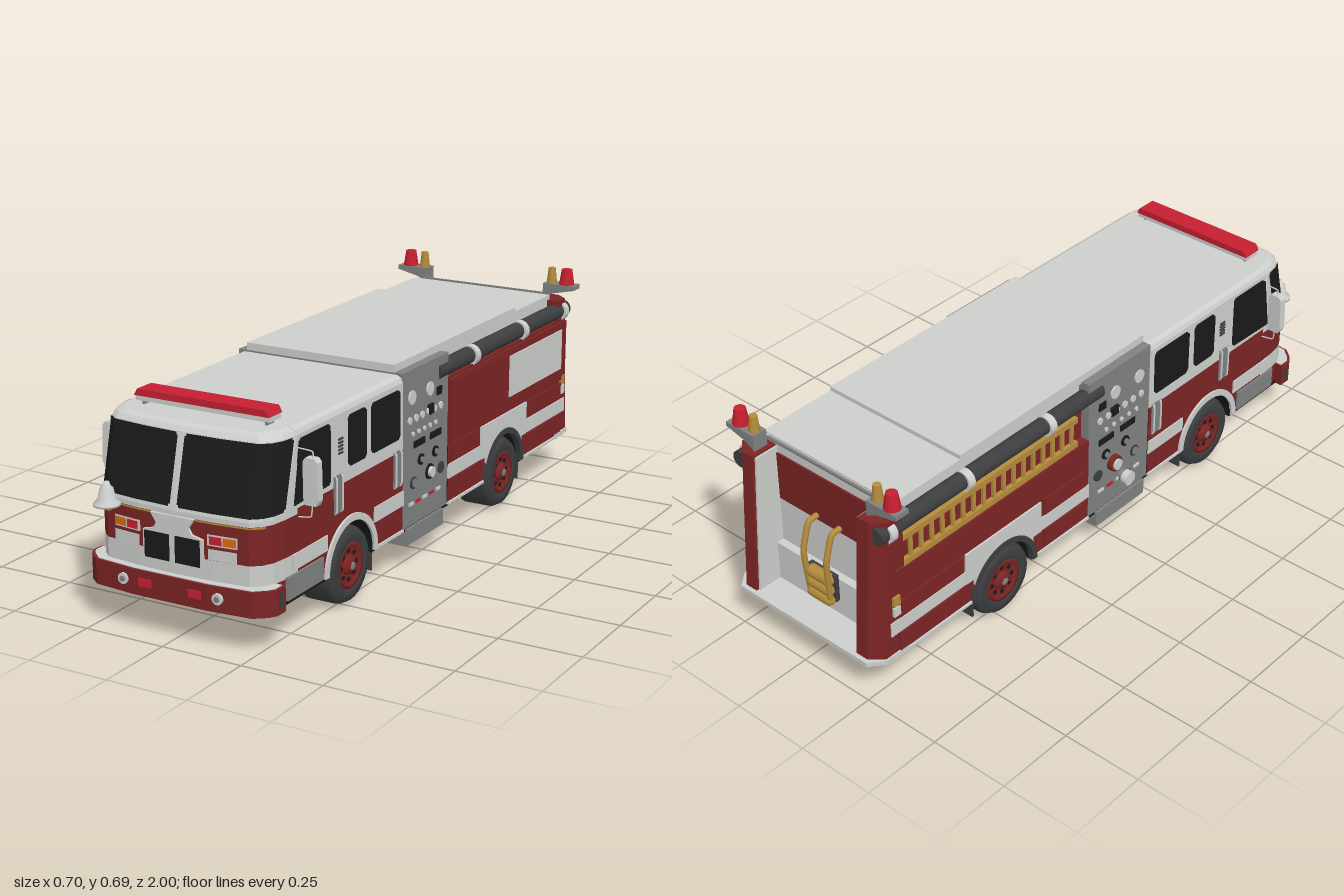
import * as THREE from 'three';

const mat = (name, color) => { const m = new THREE.MeshStandardMaterial({ color }); m.name = name; return m; };

export function createModel() {
  const root = new THREE.Group();
  root.name = 'fireEngine';
  const red = mat('body red', 0x7b2424), white = mat('pale silver', 0xcdcfcc), grey = mat('panel grey', 0x808282),
    black = mat('glass black', 0x191a1a), rubber = mat('rubber grey', 0x3d3e3f), signal = mat('signal red', 0xc61f30),
    gold = mat('gold', 0xb48c3c), orange = mat('orange', 0xdb6a14);

  // ---- helpers ----
  const add = (name, geo, m, parent = root) => {
    const mesh = new THREE.Mesh(geo, m); mesh.name = name; parent.add(mesh); return mesh;
  };
  const box = (name, m, x0, x1, y0, y1, z0, z1) => add(name, new THREE.BoxGeometry(Math.abs(x1 - x0), y1 - y0, Math.abs(z1 - z0))
    .translate((x0 + x1) / 2, (y0 + y1) / 2, (z0 + z1) / 2), m);
  const poly = pts => new THREE.Shape(pts.map(p => new THREE.Vector2(...p)));
  const extrude = (shape, depth) => new THREE.ExtrudeGeometry(shape, { depth, bevelEnabled: false, curveSegments: 20 });
  // profile given in (z, y), swept across x
  const sideways = (name, m, shape, x0, x1) => add(name, extrude(shape, Math.abs(x1 - x0)).rotateY(-Math.PI / 2)
    .translate(Math.max(x0, x1), 0, 0), m);
  // outline given in (x, z), swept up y
  const plan = (name, m, pts, y0, y1) => add(name, extrude(poly(pts.map(([x, z]) => [x, -z])), y1 - y0)
    .rotateX(-Math.PI / 2).translate(0, y0, 0), m);
  const mirrored = half => [...half, ...half.map(([x, z]) => [-x, z]).reverse()];
  const panel = (name, m, s, z0, z1, y0, y1, t = 0.005, x = 0.28) => box(name, m, s * (x - 0.003), s * (x + t), y0, y1, z0, z1);
  const tube = (name, m, r, pts) => add(name, new THREE.TubeGeometry(
    new THREE.CatmullRomCurve3(pts.map(p => new THREE.Vector3(...p)), false, 'catmullrom', 0.2), 24, r, 8), m);
  const cylX = (name, m, r, x0, x1, y, z) => add(name, new THREE.CylinderGeometry(r, r, Math.abs(x1 - x0), 16)
    .rotateZ(Math.PI / 2).translate((x0 + x1) / 2, y, z), m);
  const cylZ = (name, m, r, x, y, z0, z1) => add(name, new THREE.CylinderGeometry(r, r, Math.abs(z1 - z0), 20)
    .rotateX(Math.PI / 2).translate(x, y, (z0 + z1) / 2), m);
  const sides = f => [1, -1].forEach(f);

  // ---- cab and rear body with dark wheel arches ----
  const R = 0.125, wheelsZ = [0.48, -0.475];
  const arched = (z0, z1, y0, y1, zw) => {
    const s = new THREE.Shape();
    s.moveTo(z0, y0); s.lineTo(zw - R, y0);
    s.lineTo(zw - R, 0.12); s.absarc(zw, 0.12, R, Math.PI, 0, true);
    s.lineTo(zw + R, y0); s.lineTo(z1, y0); s.lineTo(z1, y1); s.lineTo(z0, y1);
    return s;
  };
  sideways('cabLower', [red, black], arched(0.18, 0.76, 0.12, 0.368, 0.48), -0.28, 0.28);
  add('cabUpper', extrude(poly([[-0.28, 0.368], [0.28, 0.368], [0.278, 0.57], [0.272, 0.583], [0.258, 0.59],
    [-0.258, 0.59], [-0.272, 0.583], [-0.278, 0.57]]), 0.58).translate(0, 0, 0.18), white);
  sideways('rearBody', [red, black], arched(-0.87, -0.1, 0.12, 0.39, -0.475), -0.28, 0.28);
  box('rearBodyLedge', red, -0.28, 0.28, 0.39, 0.402, -0.87, -0.1);
  box('rearBodyUpper', red, -0.25, 0.28, 0.4, 0.52, -0.87, -0.1);
  box('hoseBedWalls', white, -0.24, 0.24, 0.515, 0.6, -0.87, -0.1);
  box('rearRoof', white, -0.25, 0.25, 0.59, 0.605, -0.865, 0.18);
  box('raisedRoof', white, -0.25, 0.25, 0.6, 0.618, -0.61, 0.18);
  box('pumpHousing', grey, -0.278, 0.278, 0.12, 0.595, -0.1, 0.18);

  // ---- curved nose, built from a half outline in (x, z) that leans back above the belt ----
  const Q = [[0, 0.935], [0.12, 0.93], [0.228, 0.918], [0.255, 0.895], [0.27, 0.865], [0.277, 0.82], [0.28, 0.76]];
  const nosePoint = (s, y, off = 0) => {
    const a = Math.abs(s), i = Math.min(5, Math.floor(a)), t = a - i;
    const x = Q[i][0] + (Q[i + 1][0] - Q[i][0]) * t, z = Q[i][1] + (Q[i + 1][1] - Q[i][1]) * t;
    const fade = Math.min(1, 6 - a);
    return [Math.sign(s) * x * (1 + off / 0.28), y, z - Math.max(0, y - 0.365) * 0.25 * fade + off * fade];
  };
  // outline parameter at a given x on the front
  const sx = x => {
    const a = Math.abs(x), i = Q.findIndex((q, k) => k < 5 && a <= Q[k + 1][0]);
    return Math.sign(x) * (i + (a - Q[i][0]) / (Q[i + 1][0] - Q[i][0]));
  };
  const noseBand = (name, m, a, b, y0, y1, o0 = 0, o1 = o0) => {
    const cuts = [a];
    for (let k = Math.floor(a) + 1; k < b; k++) cuts.push(k);
    cuts.push(b);
    const v = [];
    for (let k = 0; k + 1 < cuts.length; k++) {
      const A = nosePoint(cuts[k], y0, o0), B = nosePoint(cuts[k + 1], y0, o0);
      const C = nosePoint(cuts[k + 1], y1, o1), D = nosePoint(cuts[k], y1, o1);
      v.push(...A, ...B, ...C, ...A, ...C, ...D);
    }
    const g = new THREE.BufferGeometry();
    g.setAttribute('position', new THREE.Float32BufferAttribute(v, 3));
    g.computeVertexNormals();
    add(name, g, m);
  };
  const nosePatch = (name, m, s, x0, x1, y0, y1, off) => noseBand(name, m, s > 0 ? sx(x0) : sx(-x1), s > 0 ? sx(x1) : sx(-x0), y0, y1, off);
  noseBand('noseSkirt', red, -6, 6, 0.12, 0.185);
  noseBand('noseStripe', white, -6, 6, 0.185, 0.245);
  noseBand('noseRed', red, -6, 6, 0.245, 0.352);
  noseBand('noseBelt', white, -6, 6, 0.352, 0.365);
  noseBand('windshieldSurround', white, -6, 6, 0.365, 0.57);
  noseBand('roofEdgeLower', white, -6, 6, 0.57, 0.583, 0, -0.007);
  noseBand('roofEdgeUpper', white, -6, 6, 0.583, 0.59, -0.007, -0.022);
  const cap = [];
  for (let s = -6; s <= 6; s++) { const p = nosePoint(s, 0.59, -0.022); cap.push([p[0], p[2]]); }
  plan('noseRoof', white, cap, 0.58, 0.59);
  sides(s => {
    // windshield with trimmed top and bottom corners
    const wind = (a, b, y0, y1) => noseBand('windshield', black, s > 0 ? a : -b, s > 0 ? b : -a, y0, y1, 0.002);
    wind(0.13, 4.85, 0.375, 0.382); wind(0.09, 5, 0.382, 0.561); wind(0.13, 4.85, 0.561, 0.568);
    nosePatch('beltLine', gold, s, 0.07, 0.26, 0.347, 0.352, 0.002);
    nosePatch('lampFrame', white, s, 0.106, 0.194, 0.287, 0.319, 0.004);
    nosePatch('innerLamp', signal, s, 0.112, 0.148, 0.292, 0.315, 0.007);
    nosePatch('outerLamp', orange, s, 0.152, 0.19, 0.292, 0.315, 0.007);
    nosePatch('headlamp', white, s, 0.108, 0.192, 0.248, 0.279, 0.006);
    box('grille', black, s * 0.01, s * 0.088, 0.223, 0.298, 0.93, 0.945);
  });
  add('grillePanel', extrude(poly([[-0.095, 0.217], [0.095, 0.217], [0.095, 0.3], [0.062, 0.308], [0.052, 0.325],
    [0.07, 0.352], [-0.07, 0.352], [-0.052, 0.325], [-0.062, 0.308], [-0.095, 0.3]]), 0.014).translate(0, 0, 0.927), white);

  // ---- bumper ----
  plan('bumper', red, mirrored([[0.3, 0.855], [0.3, 0.895], [0.285, 0.918], [0.252, 0.945], [0.12, 0.958]]), 0.112, 0.185);
  plan('bumperTread', white, mirrored([[0.292, 0.86], [0.292, 0.892], [0.279, 0.911], [0.248, 0.938], [0.12, 0.951]]), 0.184, 0.187);
  sides(s => {
    cylZ('fogLamp', white, 0.016, s * 0.152, 0.152, 0.945, 0.962);
    cylZ('fogLampCentre', grey, 0.008, s * 0.152, 0.152, 0.945, 0.965);
    box('bumperLamp', signal, s * 0.06, s * 0.1, 0.141, 0.163, 0.95, 0.963);
    panel('bumperEndSlot', rubber, s, 0.87, 0.885, 0.13, 0.17, 0.002, 0.3);
  });

  // ---- bell ----
  const bell = (name, pts, m) => add(name, new THREE.LatheGeometry(pts.map(p => new THREE.Vector2(...p)), 24), m).position.set(-0.195, 0.355, 0.962);
  bell('bell', [[0, 0.002], [0.038, 0], [0.037, 0.006], [0.025, 0.018], [0.019, 0.048], [0.012, 0.054], [0.008, 0.066], [0, 0.068]], white);
  bell('bellClapper', [[0, -0.016], [0.01, -0.012], [0.01, 0], [0, 0.004]], gold);
  box('bellBracket', gold, -0.203, -0.187, 0.34, 0.352, 0.915, 0.965);

  // ---- roof light bar ----
  sides(s => box('lightBarFoot', grey, s * 0.193, s * 0.201, 0.588, 0.604, 0.748, 0.78));
  box('lightBarBase', white, -0.215, 0.215, 0.602, 0.618, 0.735, 0.79);
  add('lightBar', extrude(poly([[-0.217, 0.617], [0.217, 0.617], [0.206, 0.636], [-0.206, 0.636]]), 0.066).translate(0, 0, 0.73), signal);

  // ---- parts repeated on both sides ----
  sides(s => {
    // windows
    sideways('doorWindow', black, poly([[0.6, 0.385], [0.778, 0.38], [0.75, 0.55], [0.738, 0.558], [0.6, 0.558], [0.592, 0.55], [0.592, 0.393]]), s * 0.277, s * 0.283);
    for (const [a, b] of [[0.395, 0.493], [0.202, 0.365]])
      sideways('rearCabWindow', black, poly([[a + 0.01, 0.408], [b - 0.01, 0.408], [b, 0.418], [b, 0.545], [b - 0.01, 0.555],
        [a + 0.01, 0.555], [a, 0.545], [a, 0.418]]), s * 0.277, s * 0.283);
    for (let i = 0; i < 5; i++) panel('louvre', rubber, s, 0.523, 0.547, 0.457 + i * 0.01, 0.462 + i * 0.01, 0.003);
    // stripes and arch trims
    for (const [a, b] of [[0.61, 0.79], [0.18, 0.35], [-0.345, -0.1], [-0.93, -0.605]]) panel('sideStripe', white, s, a, b, 0.2, 0.245, 0.004);
    for (const [a, b] of [[0.18, 0.35], [-0.345, -0.1], [-0.93, -0.605]]) panel('sillTrim', white, s, a, b, 0.118, 0.126, 0.006);
    const ring = new THREE.Shape();
    ring.absarc(0.48, 0.12, 0.145, 0, Math.PI, false); ring.absarc(0.48, 0.12, R, Math.PI, 0, true);
    sideways('frontArchTrim', white, ring, s * 0.278, s * 0.287);
    sideways('rearFender', white, arched(-0.635, -0.315, 0.2, 0.305, -0.475), s * 0.278, s * 0.286);
    const lip = new THREE.Shape();
    lip.absarc(-0.475, 0.12, 0.138, 0, Math.PI, false); lip.absarc(-0.475, 0.12, 0.12, Math.PI, 0, true);
    sideways('rearArchLip', rubber, lip, s * 0.27, s * 0.289);
    // steps, grab rails and flaps
    panel('cabStep', grey, s, 0.635, 0.82, 0.125, 0.19, 0.006);
    box('pumpStep', grey, s * 0.2, s * 0.285, 0.068, 0.118, -0.065, 0.16);
    for (const [z, y] of [[0.55, 0.29], [0.215, 0.265]]) {
      panel('railPlate', grey, s, z - 0.022, z + 0.022, y, y + 0.11, 0.003);
      sides(k => tube('grabRail', white, 0.003, [[s * 0.28, y, z + k * 0.016], [s * 0.287, y + 0.01, z + k * 0.016], [s * 0.287, y + 0.1, z + k * 0.016], [s * 0.28, y + 0.11, z + k * 0.016]]));
    }
    for (const z of [0.352, -0.6]) box('mudFlap', rubber, s * 0.17, s * 0.275, 0.055, 0.14, z - 0.003, z + 0.003);
    // compartment doors
    for (const [a, b, c, d] of [[-0.3, -0.115, 0.25, 0.305], [-0.9, -0.645, 0.25, 0.305], [-0.3, -0.115, 0.135, 0.195], [-0.9, -0.645, 0.135, 0.195]])
      panel('compartmentDoor', red, s, a, b, c, d, 0.006);
    // hose tubes
    cylZ('hoseTube', rubber, 0.026, s * 0.262, 0.546, -0.95, -0.04);
    for (const z of [-0.27, -0.61, -0.91]) cylZ('tubeCollar', white, 0.032, s * 0.264, 0.544, z - 0.012, z + 0.012);
    // mirrors
    add('mirror', extrude(poly([[0.308, 0.385], [0.343, 0.385], [0.35, 0.4], [0.347, 0.505], [0.338, 0.516], [0.31, 0.516], [0.302, 0.505], [0.304, 0.395]].map(([x, y]) => [s * x, y])), 0.025).translate(0, 0, 0.745), white);
    tube('mirrorArm', white, 0.0022, [[s * 0.272, 0.535, 0.755], [s * 0.325, 0.532, 0.757], [s * 0.328, 0.5, 0.757]]);
    tube('mirrorArm', white, 0.0022, [[s * 0.275, 0.342, 0.755], [s * 0.32, 0.35, 0.757], [s * 0.325, 0.4, 0.757]]);
    // rear pillars, chamfered in plan and raked toward the foot
    const pillar = plan('rearPillar', red, [[0.2, -0.868], [0.28, -0.868], [0.28, -0.92], [0.242, -0.955], [0.2, -0.955]].map(([x, z]) => [s * x, z]), 0.12, 0.585);
    const p = pillar.geometry.attributes.position;
    for (let i = 0; i < p.count; i++) if (p.getZ(i) < -0.9) p.setZ(i, p.getZ(i) - (0.585 - p.getY(i)) * 0.07);
    pillar.geometry.computeVertexNormals();
    sideways('pillarLining', white, poly([[-0.978, 0.13], [-0.868, 0.13], [-0.868, 0.58], [-0.948, 0.58]]), s * 0.194, s * 0.201);
    panel('markerLamp', gold, s, -0.92, -0.895, 0.3, 0.33, 0.008);
    panel('markerLampWhite', white, s, -0.92, -0.895, 0.265, 0.295, 0.008);
    // warning beacons
    add('beaconBracket', extrude(poly([[0.215, 0.585], [0.25, 0.605], [0.325, 0.622], [0.325, 0.636], [0.215, 0.636]].map(([x, y]) => [s * x, y])), 0.048).translate(0, 0, -0.934), grey);
    const beacon = (m, x, r) => { add('beacon', new THREE.CylinderGeometry(r * 0.68, r, 0.05, 16), m).position.set(s * x, 0.661, -0.91); };
    beacon(signal, 0.289, 0.025); beacon(gold, 0.236, 0.017);
    // wheels
    wheelsZ.forEach(z => {
      const w = new THREE.Group(); w.name = 'wheel'; root.add(w);
      w.position.set(0, 0.113, z); if (s < 0) w.rotation.y = Math.PI;
      const lathe = (name, pts, m) => add(name, new THREE.LatheGeometry(pts.map(q => new THREE.Vector2(...q)), 28).rotateZ(-Math.PI / 2), m, w);
      lathe('tyre', [[0, 0.16], [0.098, 0.16], [0.113, 0.175], [0.113, 0.26], [0.103, 0.279], [0.072, 0.284], [0.068, 0.268], [0, 0.268]], rubber);
      lathe('rim', [[0.068, 0.262], [0.067, 0.281], [0.056, 0.281], [0.05, 0.272], [0, 0.272]], red);
      lathe('hub', [[0.03, 0.27], [0.026, 0.281], [0.014, 0.283], [0.012, 0.287], [0, 0.287]], red);
      lathe('hubCap', [[0.013, 0.284], [0.011, 0.289], [0, 0.29]], grey);
      for (let i = 0; i < 8; i++) {
        const a = i * Math.PI / 4;
        add('wheelHole', new THREE.CylinderGeometry(0.007, 0.007, 0.004, 8).rotateZ(Math.PI / 2).translate(0.273, 0.042 * Math.cos(a), 0.042 * Math.sin(a)), black, w);
      }
      lathe('brakeDrum', [[0, 0.125], [0.06, 0.125], [0.065, 0.135], [0.065, 0.162], [0, 0.162]], rubber);
    });
    // pump controls
    const dial = (m, r, z, y, t = 0.005) => cylX('pumpGauge', m, r, s * 0.276, s * (0.278 + t), y, z);
    dial(white, 0.021, 0.128, 0.512); dial(white, 0.021, 0.018, 0.512);
    for (let i = 0; i < 6; i++) dial(white, 0.011, 0.14 - i * 0.038, 0.445);
    for (let i = 0; i < 5; i++) dial(white, 0.007, 0.12 - i * 0.035, 0.4);
    for (const z of [0.07, -0.02]) { dial(black, 0.017, z, 0.31); dial(grey, 0.009, z, 0.31, 0.01); }
    dial(rubber, 0.018, 0.115, 0.25); dial(grey, 0.013, 0.115, 0.25, 0.008); dial(rubber, 0.018, -0.055, 0.25);
    for (const z of [0.08, -0.02]) panel('pumpLabel', black, s, z - 0.033, z + 0.033, 0.355, 0.375, 0.004, 0.278);
    panel('pumpDisplay', black, s, -0.055, -0.025, 0.48, 0.505, 0.004, 0.278);
    panel('pumpDisplay', black, s, 0.0, 0.03, 0.435, 0.465, 0.008, 0.278);
    for (let i = 0; i < 5; i++) panel('pumpTag', i % 2 ? signal : white, s, 0.115 - i * 0.042, 0.14 - i * 0.042, 0.183, 0.192, 0.004, 0.278);
  });

  // ---- left side: raised compartment with a pale panel, and a small valve ----
  box('sideCompartment', red, 0.275, 0.288, 0.315, 0.512, -0.92, -0.1);
  panel('compartmentDoor', red, 1, -0.465, -0.11, 0.335, 0.505, 0.004, 0.288);
  panel('sidePanel', white, 1, -0.88, -0.495, 0.357, 0.49, 0.004, 0.288);
  cylX('valveFlange', black, 0.024, 0.275, 0.283, 0.257, 0.015);
  cylX('valve', white, 0.016, 0.275, 0.292, 0.257, 0.015);

  // ---- right side: ladder on a recessed shelf, and the large pump outlets ----
  for (const y of [0.418, 0.503]) box('ladderRail', gold, -0.28, -0.266, y - 0.009, y + 0.009, -0.9, -0.15);
  for (let i = 0; i < 18; i++) box('ladderRung', gold, -0.277, -0.269, 0.415, 0.505, -0.177 - i * 0.0415, -0.165 - i * 0.0415);
  cylX('intakePipe', red, 0.026, -0.275, -0.295, 0.262, 0.015);
  cylX('intakeCap', white, 0.018, -0.29, -0.302, 0.262, 0.015);
  cylX('outletPipe', grey, 0.019, -0.275, -0.295, 0.19, 0.06);
  cylX('outletCap', white, 0.023, -0.292, -0.312, 0.19, 0.06);

  // ---- rear bay ----
  plan('tailStep', white, mirrored([[0.285, -0.865], [0.285, -0.955], [0.25, -1]]), 0.12, 0.134);
  box('bayUpper', red, -0.2, 0.2, 0.405, 0.56, -0.876, -0.86);
  box('bayLower', white, -0.2, 0.2, 0.13, 0.405, -0.876, -0.86);
  box('bayBench', white, -0.2, 0.2, 0.13, 0.26, -0.9, -0.87);
  box('crossBar', grey, -0.22, 0.22, 0.6, 0.608, -0.882, -0.874);
  for (let i = 0; i < 3; i++) add('hosePack', new THREE.CapsuleGeometry(0.02, 0.06, 4, 10).rotateZ(Math.PI / 2), gold).position.set(0, 0.19 + i * 0.035, -0.92);
  box('packBack', rubber, -0.052, 0.052, 0.185, 0.275, -0.915, -0.9);
  sides(s => tube('packStrap', gold, 0.009, [[s * 0.04, 0.2, -0.925], [s * 0.045, 0.33, -0.935], [s * 0.045, 0.415, -0.91], [s * 0.045, 0.42, -0.875]]));

  // ---- underside ----
  for (const [a, b] of [[0.605, 0.9], [-0.35, 0.355], [-0.95, -0.6]]) box('floorPlate', black, -0.277, 0.277, 0.111, 0.12, a, b);
  box('tailFloor', black, -0.245, 0.245, 0.115, 0.121, -0.99, -0.95);
  box('chassis', black, -0.15, 0.15, 0.108, 0.26, -0.86, 0.86);
  wheelsZ.forEach(z => cylX('axle', rubber, 0.014, -0.17, 0.17, 0.113, z));
  return root;
}
